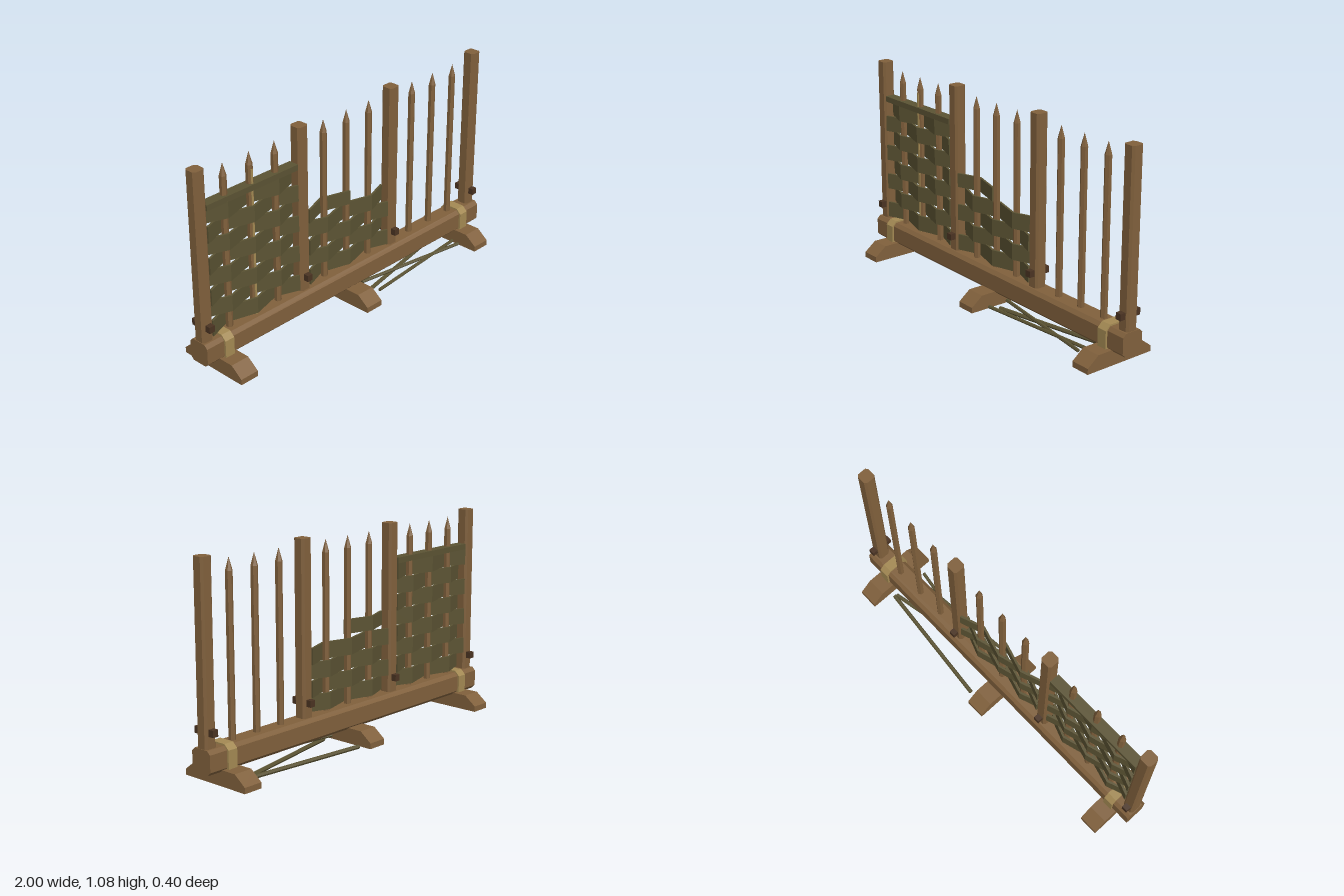
import * as THREE from 'three';

const mat = (name, color, extra = {}) => {
  const m = new THREE.MeshStandardMaterial({ color, ...extra });
  m.name = name;
  return m;
};

export function createModel() {
  const group = new THREE.Group();
  const wood = mat('wood', 0x80603c, { flatShading: true });
  const wicker = mat('wicker', 0x5b5333, { flatShading: true });
  const darkWood = mat('darkWood', 0x4a3322, { flatShading: true });
  const binding = mat('binding', 0xa38953, { flatShading: true });

  const add = (name, geometry, material, x = 0, y = 0, z = 0) => {
    const mesh = new THREE.Mesh(geometry, material);
    mesh.name = name;
    mesh.position.set(x, y, z);
    group.add(mesh);
    return mesh;
  };
  const extrude = (points, depth) => new THREE.ExtrudeGeometry(
    new THREE.Shape(points.map(([a, b]) => new THREE.Vector2(a, b))),
    { depth, bevelEnabled: false });
  // Profile in z and y, centred along x
  const alongX = (points, length) =>
    extrude(points, length).translate(0, 0, -length / 2).rotateY(Math.PI / 2);
  // Profile in x and z, rising from y = 0
  const alongY = (points, height) => extrude(points, height).rotateX(-Math.PI / 2);
  const chamfered = (w, h, c) => [
    [-w + c, -h], [w - c, -h], [w, -h + c], [w, h - c],
    [w - c, h], [-w + c, h], [-w, h - c], [-w, -h + c]];

  // Long ground beam
  add('beam', alongX(chamfered(0.06, 0.06, 0.018), 2), wood, 0, 0.13);

  // Sloped feet
  const footProfile = [[-0.2, 0], [0.2, 0], [0.2, 0.03], [0.135, 0.08], [-0.135, 0.08], [-0.2, 0.03]];
  for (const x of [-0.867, 0, 0.867]) add('foot', alongX(footProfile, 0.105), wood, x);

  // Bindings over the beam ends
  const strapProfile = [[-0.07, 0.08], [0.07, 0.08], [0.07, 0.172], [0.043, 0.198], [-0.043, 0.198], [-0.07, 0.172]];
  for (const x of [-0.867, 0.867]) add('binding', alongX(strapProfile, 0.055), binding, x);

  // Main posts with cross pegs
  for (const x of [-0.964, -0.322, 0.322, 0.964]) {
    add('post', alongY(chamfered(0.033, 0.033, 0.011), 0.93), wood, x, 0.15);
    add('peg', new THREE.BoxGeometry(0.032, 0.034, 0.124), darkWood, x, 0.268);
  }

  // Pointed stakes, three to a bay
  const bays = [-0.644, 0, 0.644];
  for (const bay of bays) {
    for (const dx of [-0.16, 0, 0.16]) {
      add('stake', new THREE.CylinderGeometry(0.018, 0.018, 0.84, 6), wood, bay + dx, 0.57);
      add('stakeTip', new THREE.ConeGeometry(0.018, 0.065, 6), wood, bay + dx, 1.0225);
    }
  }
  // Pale split on one stake
  add('paleSplit', new THREE.BoxGeometry(0.012, 0.78, 0.004), binding, -0.644, 0.58, 0.017);

  // One woven band zigzagging around the stakes
  const band = (bay, y, height, sign, count = 5) => {
    const xs = [-0.285, -0.16, 0, 0.16, 0.285].slice(0, count);
    const z = (i) => (i % 2 ? sign : -sign) * 0.023;
    const front = xs.map((x, i) => [x, z(i) - 0.006]);
    const back = xs.map((x, i) => [x, z(i) + 0.006]).reverse();
    add('wovenBand', alongY([...front, ...back], height), wicker, bay, y);
  };
  const rows = (bay, count) => {
    for (let i = 0; i < count; i++) band(bay, 0.2 + i * 0.083, 0.085, i % 2 ? -1 : 1);
  };
  rows(bays[0], 8);
  rows(bays[1], 4);
  band(bays[1], 0.547, 0.074, 1, 3);
  // Rim closing the finished panel
  add('panelRim', new THREE.BoxGeometry(0.57, 0.03, 0.056), wicker, bays[0], 0.879);

  // Loose rods on the ground: start x, z, end x, z, height
  const rods = [
    [0.085, -0.15, 0.785, -0.08, 0.011],
    [0.11, 0.065, 0.78, -0.068, 0.011],
    [0.11, 0.135, 0.77, 0.075, 0.04],
    [0.105, 0.015, 0.765, 0.12, 0.04]];
  for (const [x1, z1, x2, z2, y] of rods) {
    const size = y < 0.02 ? 0.011 : 0.009;
    const rod = add('looseRod',
      new THREE.CylinderGeometry(size, size, Math.hypot(x2 - x1, z2 - z1), 6).rotateZ(Math.PI / 2),
      wicker, (x1 + x2) / 2, y, (z1 + z2) / 2);
    rod.rotation.y = -Math.atan2(z2 - z1, x2 - x1);
  }
  return group;
}
